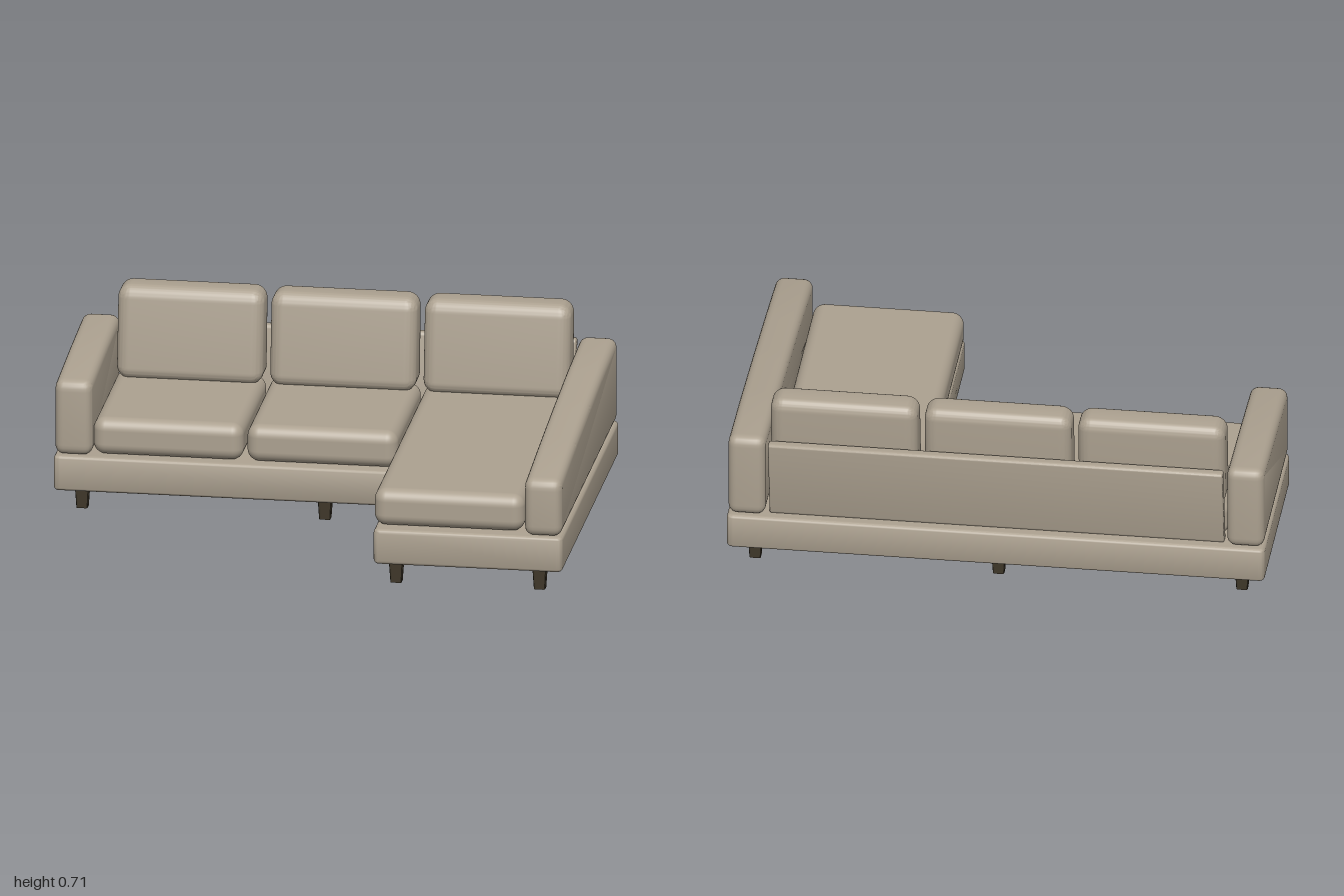
import * as THREE from 'three';
import { toCreasedNormals } from 'three/addons/utils/BufferGeometryUtils.js';
import { RoundedBoxGeometry } from 'three/addons/geometries/RoundedBoxGeometry.js';

// Closed polygon with every corner rounded by r
function roundedShape(points, r) {
  const pts = points.map(([x, y]) => new THREE.Vector2(x, y));
  const shape = new THREE.Shape();
  pts.forEach((p, i) => {
    const prev = pts[(i + pts.length - 1) % pts.length];
    const next = pts[(i + 1) % pts.length];
    const a = p.clone().add(prev.clone().sub(p).setLength(r));
    const b = p.clone().add(next.clone().sub(p).setLength(r));
    if (i === 0) shape.moveTo(a.x, a.y);
    else shape.lineTo(a.x, a.y);
    shape.quadraticCurveTo(p.x, p.y, b.x, b.y);
  });
  shape.closePath();
  return shape;
}

// Extrusion of total thickness, centred on its depth, with soft edges
function softExtrude(points, thickness, corner, bevel) {
  const geo = new THREE.ExtrudeGeometry(roundedShape(points, corner), {
    depth: thickness - 2 * bevel, bevelThickness: bevel, bevelSize: bevel,
    bevelOffset: -bevel, bevelSegments: 5, curveSegments: 6,
  });
  geo.translate(0, 0, bevel - thickness / 2);
  return toCreasedNormals(geo, 0.6);
}

export function createModel() {
  const sofa = new THREE.Group();
  sofa.name = 'cornerSofa';
  const fabric = new THREE.MeshStandardMaterial({ color: 0xaca190 });
  fabric.name = 'beigeFabric';
  const wood = new THREE.MeshStandardMaterial({ color: 0x40382a });
  wood.name = 'darkWood';

  const add = (name, geo, material, x = 0, y = 0, z = 0) => {
    const mesh = new THREE.Mesh(geo, material);
    mesh.name = name;
    mesh.position.set(x, y, z);
    sofa.add(mesh);
    return mesh;
  };

  // L-shaped base, drawn in plan as (x, -z)
  const plan = [[-1, -0.03], [0.295, -0.03], [0.295, -0.705], [1, -0.705], [1, 0.705], [-1, 0.705]];
  const base = softExtrude(plan, 0.135, 0.025, 0.016);
  base.rotateX(-Math.PI / 2);
  add('base', base, fabric, 0, 0.1575, 0);

  // Sloping arms, drawn in side view as (z, y)
  const addArm = (name, x, profile) => {
    const geo = softExtrude(profile, 0.138, 0.04, 0.032);
    geo.rotateY(-Math.PI / 2);
    add(name, geo, fabric, x, 0, 0);
  };
  addArm('leftArm', 0.927, [[-0.695, 0.225], [0.703, 0.225], [0.703, 0.443],
    [0.35, 0.48], [0, 0.511], [-0.35, 0.537], [-0.695, 0.553]].reverse());
  addArm('rightArm', -0.927, [[-0.695, 0.225], [0.02, 0.225], [0.02, 0.512],
    [-0.35, 0.537], [-0.695, 0.553]].reverse());

  // Thin back panel leaning backwards
  const panel = softExtrude([[-0.612, 0.22], [-0.66, 0.22], [-0.71, 0.538], [-0.667, 0.541]].reverse(),
    1.69, 0.014, 0.008);
  panel.rotateY(-Math.PI / 2);
  add('backPanel', panel, fabric);

  // Seat cushions: [x min, x max, front z]
  [[-0.857, -0.298, 0.005], [-0.284, 0.278, 0.005], [0.291, 0.851, 0.672]].forEach(([x0, x1, front], i) => {
    const back = -0.63;
    const geo = new RoundedBoxGeometry(x1 - x0, 0.142, front - back, 5, 0.045);
    add(['rightSeatCushion', 'middleSeatCushion', 'chaiseCushion'][i], geo, fabric,
      (x0 + x1) / 2, 0.296, (front + back) / 2);
  });

  // Back cushions: thinner and further back towards the top
  const height = 0.35;
  const box = new RoundedBoxGeometry(0.546, height, 0.17, 6, 0.048);
  const pos = box.attributes.position;
  for (let i = 0; i < pos.count; i++) {
    const t = pos.getY(i) / height + 0.5;
    pos.setZ(i, pos.getZ(i) * (1 - 0.22 * t) - 0.57 - 0.034 * t);
  }
  const backCushion = toCreasedNormals(box, 0.6);
  [['rightBackCushion', -0.573], ['middleBackCushion', -0.002], ['leftBackCushion', 0.57]]
    .forEach(([name, x]) => add(name, backCushion, fabric, x, 0.532, 0));

  // Tapered legs with chamfered corners
  const legShape = roundedShape([[-0.027, -0.027], [0.027, -0.027], [0.027, 0.027], [-0.027, 0.027]], 0.01);
  const legGeo = new THREE.ExtrudeGeometry(legShape, { depth: 0.1, bevelEnabled: false, curveSegments: 2 });
  legGeo.rotateX(-Math.PI / 2);
  const lp = legGeo.attributes.position;
  for (let i = 0; i < lp.count; i++) {
    const s = 0.78 + 2.4 * lp.getY(i);
    lp.setX(i, lp.getX(i) * s);
    lp.setZ(i, lp.getZ(i) * s);
  }
  legGeo.computeVertexNormals();
  const legSpots = [[0.37, 0.615], [0.905, 0.615]];
  for (const x of [-0.905, 0, 0.905]) for (const z of [-0.075, -0.592]) legSpots.push([x, z]);
  legSpots.forEach(([x, z]) => add('leg', legGeo, wood, x, 0, z));

  return sofa;
}
